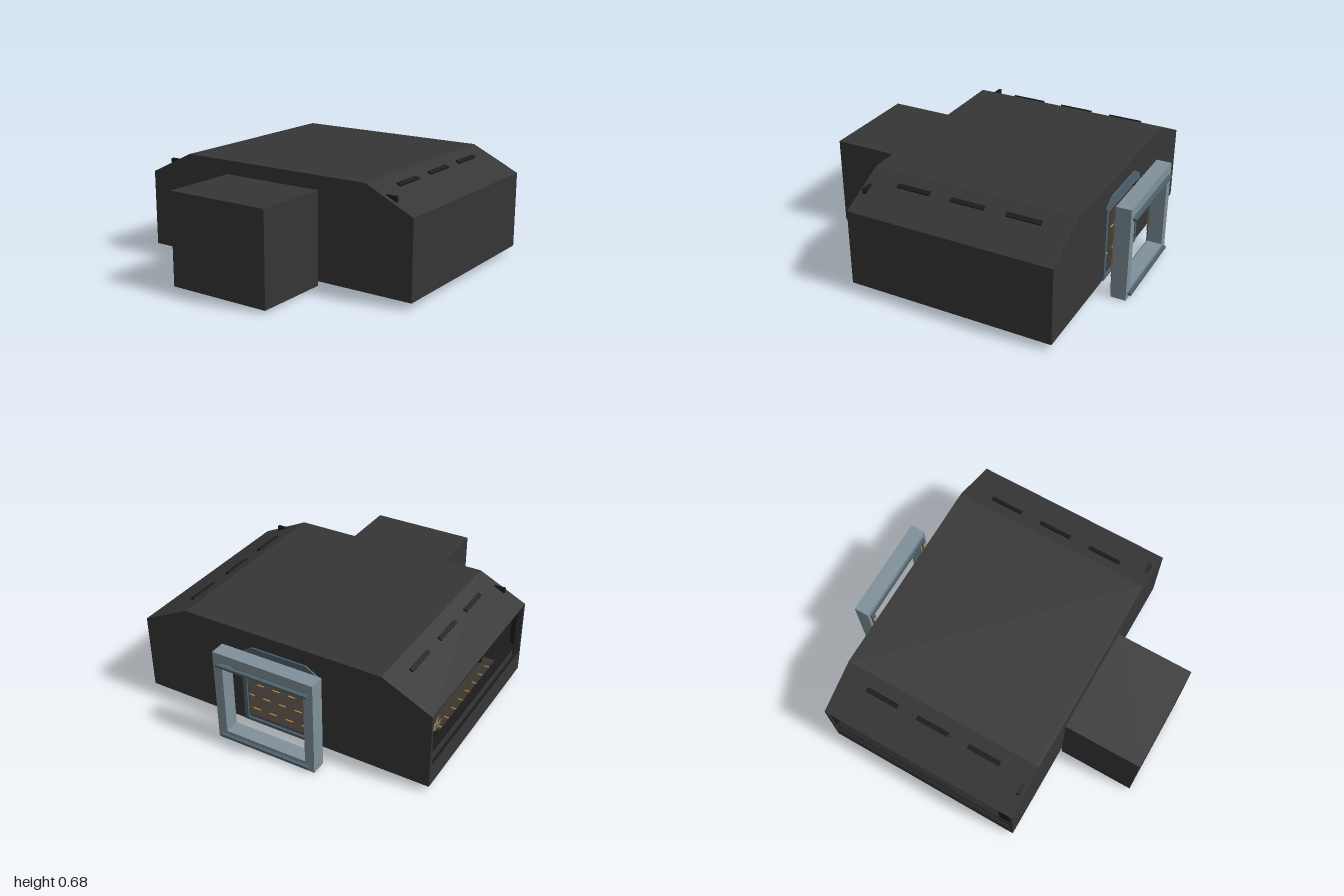
import * as THREE from 'three';

const mat = (name, color, side = THREE.FrontSide) => {
  const m = new THREE.MeshStandardMaterial({ color, side });
  m.name = name;
  return m;
};

export function createModel() {
  const root = new THREE.Group();
  const hull = mat('charcoal hull', 0x363636);
  const dark = mat('near black trim', 0x1c1c1d);
  const slate = mat('slate frame', 0x80909a);
  const deepSlate = mat('deep slate', 0x4d626e);
  const under = mat('brown underside', 0x2b2423);
  const lining = mat('olive lining', 0x3b372f);
  const gold = mat('gold', 0xc08a3c);
  const leaf = mat('pale foliage', 0x9a8f72, THREE.DoubleSide);

  const add = (name, geo, m, x = 0, y = 0, z = 0, parent = root) => {
    const mesh = new THREE.Mesh(geo, m);
    mesh.name = name;
    mesh.position.set(x, y, z);
    parent.add(mesh);
    return mesh;
  };
  // box given by its two extreme corners
  const span = (name, m, x0, x1, y0, y1, z0, z1, parent) =>
    add(name, new THREE.BoxGeometry(x1 - x0, y1 - y0, z1 - z0), m,
      (x0 + x1) / 2, (y0 + y1) / 2, (z0 + z1) / 2, parent);
  const outline = (pts) => new THREE.Shape(pts.map(([x, y]) => new THREE.Vector2(x, y)));
  const rect = (x0, x1, y0, y1) => outline([[x0, y0], [x1, y0], [x1, y1], [x0, y1]]);
  const extrude = (name, shape, m, z0, z1) =>
    add(name, new THREE.ExtrudeGeometry(shape, { depth: z1 - z0, bevelEnabled: false }), m, 0, 0, z0);

  // main shell: one wrap of floor, walls and roof, open along the -x window
  extrude('hullShell', outline([
    [-0.96, 0.04], [0.96, 0.04], [0.96, 0.525], [0.65, 0.675], [-0.65, 0.675], [-0.96, 0.525],
    [-0.94, 0.51], [-0.645, 0.655], [0.645, 0.655], [0.94, 0.512], [0.94, 0.055],
    [-0.92, 0.055], [-0.92, 0.27], [-0.945, 0.27], [-0.945, 0.17], [-0.96, 0.17],
  ]), hull, -0.78, 0.48);

  // end walls with doorways
  const wallProfile = [[-0.96, 0.04], [0.96, 0.04], [0.96, 0.525], [0.65, 0.675], [-0.65, 0.675], [-0.96, 0.525]];
  const backWall = outline(wallProfile);
  backWall.holes.push(rect(-0.24, 0.24, 0.06, 0.5));
  extrude('backWall', backWall, hull, -0.8, -0.78);
  extrude('frontWall', outline(wallProfile), hull, 0.48, 0.5);
  span('basePlate', under, -0.94, 0.94, 0.028, 0.042, -0.77, 0.47);

  // window surround and sill rails
  span('windowPost', dark, -0.95, -0.92, 0.2, 0.52, 0.4, 0.48);
  span('windowPost', dark, -0.95, -0.92, 0.2, 0.52, -0.78, -0.765);
  span('windowHeader', dark, -0.95, -0.93, 0.5, 0.518, -0.78, 0.48);
  for (const y of [0.17, 0.265]) span('sillRail', dark, -0.957, -0.915, y, y + 0.015, -0.78, 0.48);

  // roof vents and corner lamps on both slopes
  const tilt = Math.atan2(0.15, 0.31);
  for (const s of [-1, 1]) {
    for (const z of [-0.515, -0.165, 0.185]) {
      add('roofVent', new THREE.BoxGeometry(0.028, 0.012, 0.215), dark, s * 0.738, 0.637, z).rotation.z = -s * tilt;
    }
    span('cornerLamp', dark, s * 0.795 - 0.04, s * 0.795 + 0.04, 0.58, 0.62, 0.452, 0.472);
  }

  // front annex and its connector
  span('annex', hull, -0.34, 0.335, 0.015, 0.59, 0.507, 1);
  span('annexConnector', dark, -0.14, 0.14, 0.24, 0.5, 0.495, 0.512);

  // doorway trim on the back wall
  const trim = outline([[-0.26, 0.045], [0.26, 0.045], [0.26, 0.53], [0.18, 0.58], [-0.18, 0.58], [-0.26, 0.53]]);
  trim.holes.push(rect(-0.235, 0.235, 0.065, 0.5));
  extrude('doorTrim', trim, deepSlate, -0.81, -0.798);

  // free-standing docking frame behind the doorway
  const ring = (o, i, y0, y1, w) => {
    const r = rect(-o, o, y0, y1);
    r.holes.push(rect(-i, i, y0 + w, y1 - w));
    return r;
  };
  extrude('dockingFrame', ring(0.33, 0.27, 0, 0.605, 0.06), slate, -0.98, -0.885);
  extrude('dockingSeal', ring(0.31, 0.28, 0.02, 0.57, 0.03), deepSlate, -0.89, -0.875);
  for (const y of [0.03, 0.53]) {
    span('dockingRail', deepSlate, -0.3, 0.3, y - 0.008, y + 0.008, -1, -0.975);
    span('innerRail', dark, -0.27, 0.27, y + 0.01, y + 0.022, -0.972, -0.955);
  }
  for (const s of [-1, 1]) {
    span('goldStrip', gold, s * 0.295 - 0.01, s * 0.295 + 0.01, 0.12, 0.5, -0.88, -0.87);
  }
  for (let i = 0; i < 14; i++) {
    span('sealStud', gold, -0.3 + i * 0.044, -0.275 + i * 0.044, 0.025, 0.035, -0.88, -0.87);
  }

  // interior lining
  span('innerFloor', lining, -0.91, 0.935, 0.054, 0.06, -0.775, 0.475);
  span('innerSideWall', lining, 0.93, 0.938, 0.06, 0.5, -0.775, 0.475);
  span('innerFrontWall', lining, -0.64, 0.64, 0.06, 0.65, 0.472, 0.479);
  span('innerCeiling', lining, -0.63, 0.63, 0.648, 0.654, -0.775, 0.475);
  span('innerDoor', dark, -0.16, 0.16, 0.06, 0.48, 0.464, 0.473);

  // dashed gold floor lights
  for (let r = 0; r < 12; r++) {
    for (let c = 0; c < 15; c++) {
      const x = -0.8 + c * 0.115, z = -0.72 + r * 0.1;
      span('floorLight', gold, x - 0.025, x + 0.025, 0.059, 0.063, z - 0.004, z + 0.004);
    }
  }

  // console desks with screens
  for (const [x, z] of [[-0.6, 0.02], [0.78, -0.3], [0.78, 0.15]]) {
    const desk = new THREE.Group();
    desk.name = 'desk';
    desk.position.set(x, 0.06, z);
    root.add(desk);
    span('deskBody', dark, -0.08, 0.08, 0, 0.11, -0.13, 0.13, desk);
    span('screenBack', dark, -0.02, 0.02, 0.11, 0.22, -0.08, 0.08, desk);
    span('screen', deepSlate, -0.026, -0.02, 0.12, 0.21, -0.07, 0.07, desk);
  }

  // gold seats and potted plants by the window
  for (const z of [-0.3, 0.3]) {
    span('seat', gold, -0.72, -0.65, 0.09, 0.105, z - 0.035, z + 0.035);
    span('seatBack', gold, -0.66, -0.645, 0.1, 0.17, z - 0.035, z + 0.035);
    add('seatPost', new THREE.CylinderGeometry(0.012, 0.025, 0.03, 8), dark, -0.685, 0.075, z);
  }
  for (const [x, z] of [[-0.72, 0.41], [-0.8, -0.42], [0.6, 0.4]]) {
    add('plantPot', new THREE.CylinderGeometry(0.03, 0.022, 0.05, 10), dark, x, 0.085, z);
    for (let i = 0; i < 9; i++) {
      const a = i * 2.4;
      const blade = add('plantLeaf', new THREE.ConeGeometry(0.012, 0.1, 4), leaf,
        x + Math.cos(a) * 0.025, 0.15, z + Math.sin(a) * 0.025);
      blade.rotation.set(Math.sin(a) * 0.5, 0, -Math.cos(a) * 0.5);
    }
  }
  return root;
}
